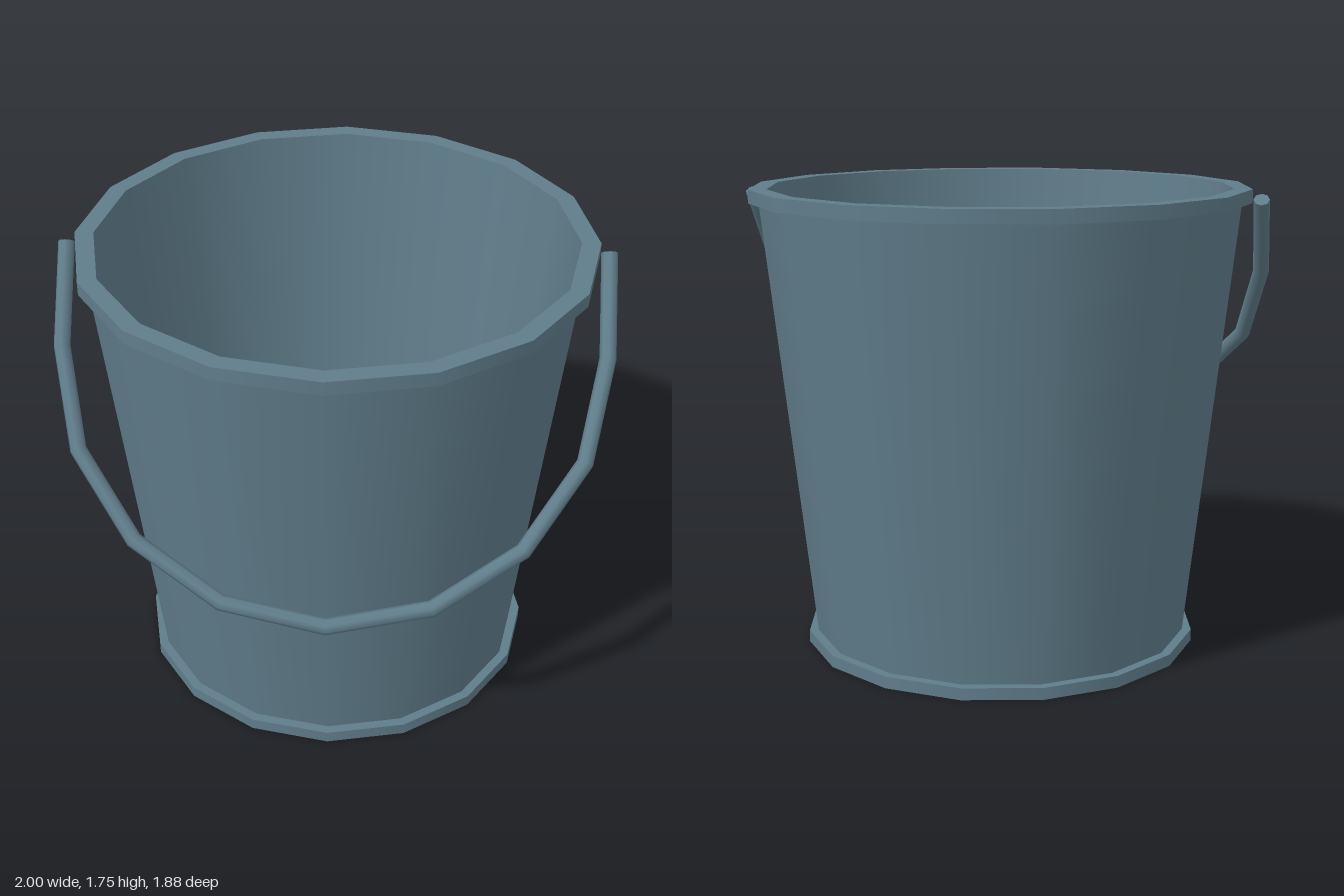
import * as THREE from 'three';

const SIDES = 16;

// Handle centre line: two straight ends joined by a half circle of eight segments.
class HandleCurve extends THREE.Curve {
  constructor(radius, drop) {
    super();
    this.points = [new THREE.Vector3(-radius, 0, 0)];
    for (let i = 0; i <= 8; i++) {
      const a = Math.PI * i / 8;
      this.points.push(new THREE.Vector3(-radius * Math.cos(a), -drop - radius * Math.sin(a), 0));
    }
    this.points.push(new THREE.Vector3(radius, 0, 0));
  }
  getPointAt(u, target = new THREE.Vector3()) {
    return target.copy(this.points[Math.round(u * 10)]);
  }
  getPoint(t, target) {
    return this.getPointAt(t, target);
  }
  // Mitre direction: average of the two neighbouring segments
  getTangentAt(u, target = new THREE.Vector3()) {
    const p = this.points, i = Math.round(u * 10);
    const step = (k) => p[k + 1].clone().sub(p[k]).normalize();
    return target.copy(step(Math.max(i - 1, 0))).add(step(Math.min(i, 9))).normalize();
  }
}

export function createModel() {
  const model = new THREE.Group();
  const metal = new THREE.MeshStandardMaterial({ color: 0x607d8b });
  metal.name = 'blue grey metal';

  // Each band is its own lathe so edges between bands stay sharp
  const addBands = (name, profile) => {
    const group = new THREE.Group();
    group.name = name;
    for (let i = 0; i < profile.length - 1; i++) {
      const pts = [profile[i], profile[i + 1]].map(([x, y]) => new THREE.Vector2(x, y));
      const band = new THREE.Mesh(new THREE.LatheGeometry(pts, SIDES), metal);
      band.name = name + 'Band';
      group.add(band);
    }
    model.add(group);
  };

  addBands('baseRing', [[0, 0], [0.755, 0], [0.755, 0.045], [0.72, 0.045]]);
  addBands('outerWall', [[0.72, 0.045], [0.9, 1.7]]);
  addBands('rim', [[0.9, 1.7], [0.938, 1.7], [0.938, 1.75], [0.87, 1.75]]);
  addBands('innerWall', [[0.87, 1.75], [0.69, 0.045]]);
  addBands('floor', [[0.69, 0.045], [0, 0.045]]);

  // Handle hanging forward from the rim
  const handle = new THREE.Group();
  handle.name = 'handle';
  const bar = new THREE.Mesh(
    new THREE.TubeGeometry(new HandleCurve(0.97, 0.378), 10, 0.03, 8, false), metal);
  bar.name = 'handleBar';
  handle.add(bar);
  for (const side of [-1, 1]) {
    const cap = new THREE.Mesh(new THREE.CircleGeometry(0.03, 8).rotateX(-Math.PI / 2), metal);
    cap.name = 'handleEnd';
    cap.position.x = side * 0.97;
    handle.add(cap);
  }
  handle.position.y = 1.713;
  handle.rotation.x = -0.695;
  model.add(handle);

  return model;
}
